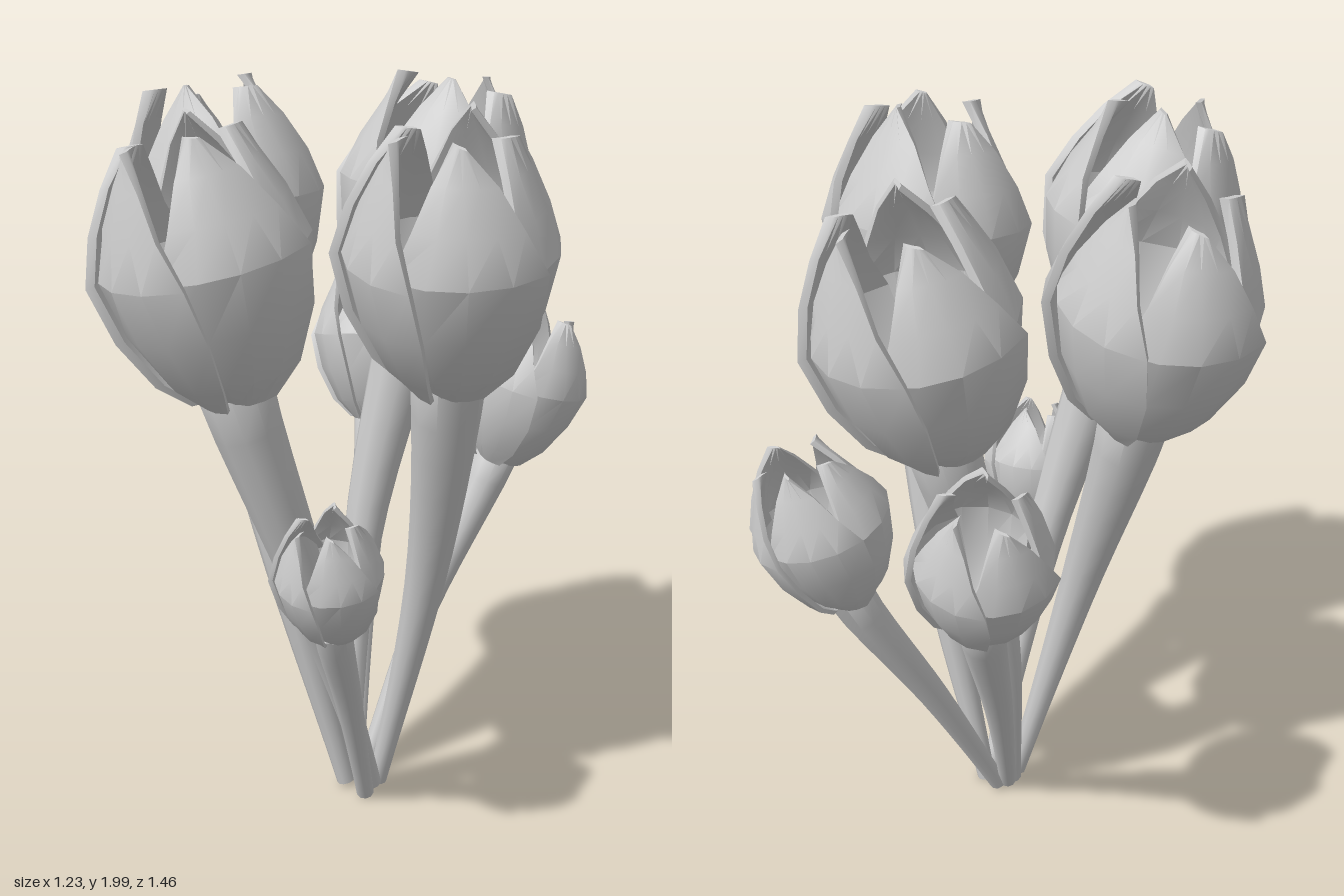
import * as THREE from 'three';
import { toCreasedNormals } from 'three/addons/utils/BufferGeometryUtils.js';

const material = new THREE.MeshStandardMaterial({ color: 0xcccccc, side: THREE.DoubleSide });
const V = (p) => new THREE.Vector3(...p);

// Petal outline per row: [height, radius, half angle in degrees]
const ROWS = [
  [0, 0.092, 40], [0.08, 0.165, 47], [0.22, 0.23, 48], [0.37, 0.262, 44],
  [0.48, 0.228, 34], [0.58, 0.18, 24], [0.66, 0.14, 5],
];

// Thick faceted petal: a closed loop of outer and inner points on each row
function petalGeometry(tall) {
  const n = 4, m = 2 * (n + 1), thick = 0.022, pos = [], idx = [];
  for (const [y, r, half] of ROWS) {
    for (let k = 0; k < m; k++) {
      const outer = k <= n;
      const u = ((outer ? k : m - 1 - k) / n) * 2 - 1;
      const a = u * THREE.MathUtils.degToRad(half);
      // one edge lies over the neighbour, the other tucks under
      const rad = r + 0.02 * u - (outer ? 0 : thick);
      pos.push(Math.sin(a) * rad, y * tall, Math.cos(a) * rad);
    }
  }
  for (let j = 0; j < ROWS.length - 1; j++) {
    for (let k = 0; k < m; k++) {
      const a = j * m + k, b = j * m + ((k + 1) % m);
      idx.push(a, b, b + m, a, b + m, a + m);
    }
  }
  const top = (ROWS.length - 1) * m;
  for (let i = 0; i < n; i++) {
    const o = i, o2 = i + 1, p = m - 1 - i, p2 = m - 2 - i;
    idx.push(top + o, top + o2, top + p2, top + o, top + p2, top + p);
    idx.push(o, p2, o2, o, p, p2);
  }
  const g = new THREE.BufferGeometry();
  g.setAttribute('position', new THREE.Float32BufferAttribute(pos, 3));
  g.setIndex(idx);
  return toCreasedNormals(g, 0.5);
}

// Tapered stem: a tube whose rings are rescaled, closed at both ends
function stemGeometry(points, r0, r1) {
  const sides = 10, seg = 14;
  const curve = new THREE.CatmullRomCurve3(points);
  const g = new THREE.TubeGeometry(curve, seg, 1, sides, false);
  const p = g.attributes.position, v = new THREE.Vector3();
  for (let i = 0; i < p.count; i++) {
    const ring = Math.floor(i / (sides + 1));
    const c = curve.getPointAt(ring / seg);
    v.fromBufferAttribute(p, i).sub(c);
    if (ring === 0) v.copy(curve.getPointAt(1 / seg)); // flat cut end
    else if (ring === seg) v.copy(c);
    else v.multiplyScalar(THREE.MathUtils.lerp(r0, r1, (ring / (seg - 1)) ** 1.4)).add(c);
    p.setXYZ(i, v.x, v.y, v.z);
  }
  return toCreasedNormals(g, 0.8);
}

// foot, bend: stem path; base: bottom of the bloom; mid: a point on the bloom's axis
const FLOWERS = [
  { name: 'leftBackBloom', foot: [0.06, -0.08, 0.02], bend: [-0.15, 0.75, 0.05], base: [-0.3, 1.32, -0.04], mid: [-0.345, 1.65, -0.07], size: 1, turn: 0 },
  { name: 'leftFrontBloom', foot: [0.12, -0.08, -0.03], bend: [0.01, 0.75, 0.29], base: [-0.13, 1.32, 0.42], mid: [-0.19, 1.65, 0.455], size: 1, turn: 0.7 },
  { name: 'rightFrontBloom', foot: [0.09, -0.09, -0.03], bend: [0.26, 0.72, 0.05], base: [0.34, 1.32, 0.2], mid: [0.345, 1.65, 0.255], size: 1, turn: 0.4 },
  { name: 'rightBackBloom', foot: [0.04, -0.08, 0.02], bend: [0.02, 0.7, -0.18], base: [0.12, 1.32, -0.3], mid: [0.165, 1.65, -0.345], size: 1, turn: 0.12 },
  { name: 'backBud', foot: [0.05, -0.04, 0], bend: [0.0, 0.5, -0.26], base: [-0.03, 0.95, -0.49], mid: [-0.05, 1.17, -0.545], size: 0.68, turn: 0.2 },
  { name: 'sideBud', foot: [0.05, -0.04, -0.02], bend: [0.19, 0.48, -0.24], base: [0.35, 0.9, -0.4], mid: [0.405, 1.11, -0.425], size: 0.67, turn: 0.9 },
  { name: 'frontBud', foot: [0.1, -0.03, 0.04], bend: [0.1, 0.4, 0.23], base: [0.1, 0.69, 0.38], mid: [0.1, 0.87, 0.425], size: 0.53, turn: 0.5 },
];

export function createModel() {
  const model = new THREE.Group();
  const petals = [1, 0.97, 1.01, 0.95, 0.99].map(petalGeometry);
  for (const f of FLOWERS) {
    const flower = new THREE.Group();
    flower.name = f.name;
    const base = V(f.base);
    const axis = V(f.mid).sub(base).normalize();

    // Stem runs into the bloom and closes its floor
    const tip = base.clone().addScaledVector(axis, 0.14 * f.size);
    const stem = new THREE.Mesh(stemGeometry([V(f.foot), V(f.bend), base, tip], 0.024, 0.035 + 0.06 * f.size ** 2), material);
    stem.name = 'stem';
    flower.add(stem);

    // Ring of overlapping petals
    const bloom = new THREE.Group();
    bloom.name = 'petals';
    petals.forEach((geometry, i) => {
      const petal = new THREE.Mesh(geometry, material);
      petal.name = 'petal';
      petal.rotation.y = f.turn + (i * Math.PI * 2) / petals.length;
      bloom.add(petal);
    });
    bloom.position.copy(base);
    bloom.scale.setScalar(f.size);
    bloom.quaternion.setFromUnitVectors(new THREE.Vector3(0, 1, 0), axis);
    flower.add(bloom);
    model.add(flower);
  }
  return model;
}
